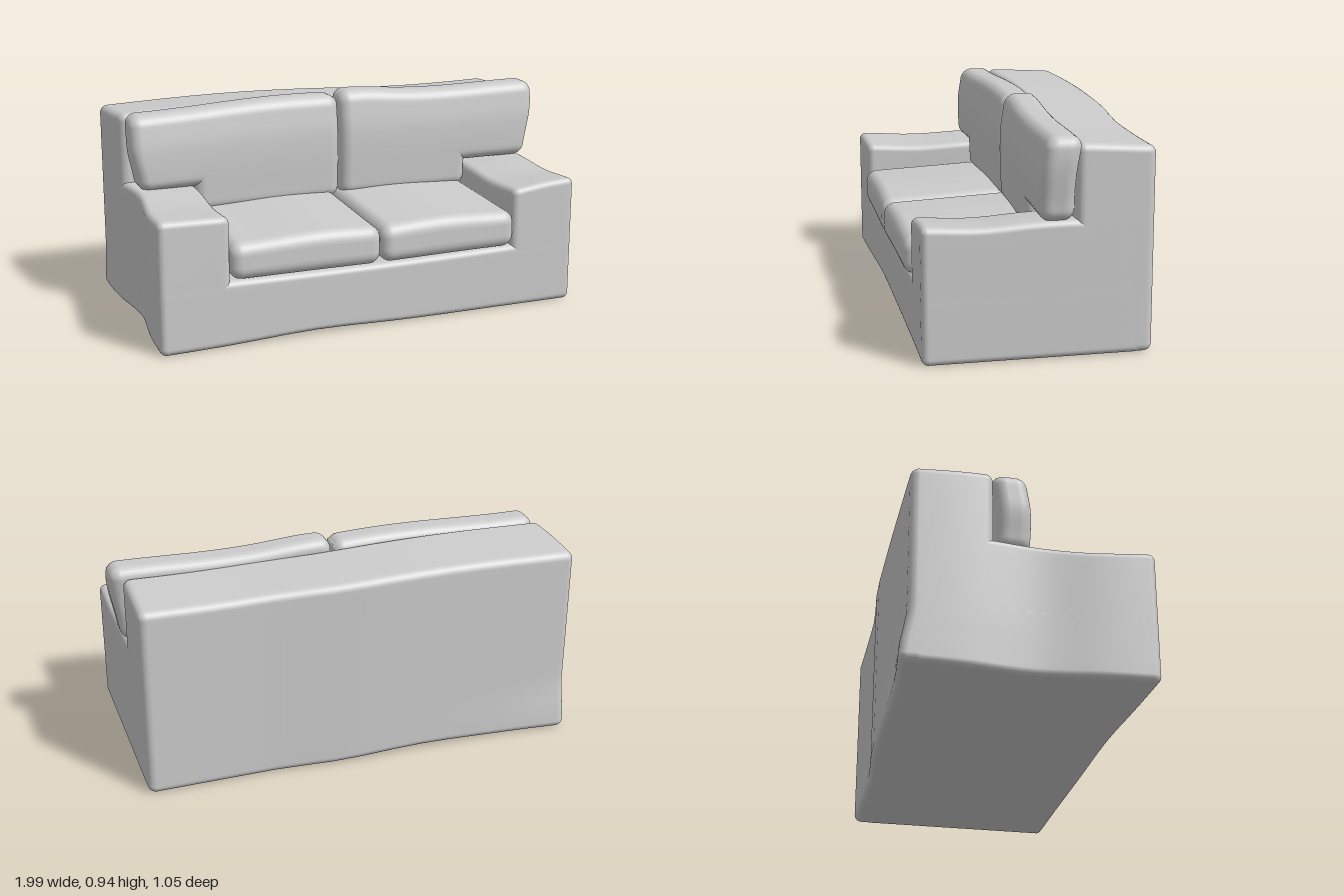
import * as THREE from 'three';
import { mergeVertices } from 'three/addons/utils/BufferGeometryUtils.js';

const { clamp, smoothstep } = THREE.MathUtils;
const bump = (t, centre, width) => Math.exp(-(((t - centre) / width) ** 2));
const material = new THREE.MeshStandardMaterial({ color: 0xcccccc });

// Rounded box between two corners, finely divided, then bent by a rule
function softBox(name, [x0, x1], [y0, y1], [z0, z1], radius, warp) {
  const flat = 14, round = 4, n = flat + 2 * round;
  const geometry = new THREE.BoxGeometry(1, 1, 1, n, n, n);
  geometry.deleteAttribute('normal');
  geometry.deleteAttribute('uv');
  const min = new THREE.Vector3(x0, y0, z0), max = new THREE.Vector3(x1, y1, z1);
  const coreMin = min.clone().addScalar(radius), coreMax = max.clone().subScalar(radius);
  // Gather grid lines in the rounded margins
  const place = (t, lo, hi) => {
    const i = Math.round((t + 0.5) * n);
    const edge = k => radius * (1 - Math.tan((1 - k / round) * Math.PI / 4));
    if (i <= round) return lo + edge(i);
    if (i >= n - round) return hi - edge(n - i);
    return lo + radius + (hi - lo - 2 * radius) * (i - round) / flat;
  };
  const pos = geometry.attributes.position;
  const p = new THREE.Vector3(), core = new THREE.Vector3();
  for (let i = 0; i < pos.count; i++) {
    p.set(place(pos.getX(i), x0, x1), place(pos.getY(i), y0, y1), place(pos.getZ(i), z0, z1));
    core.copy(p).clamp(coreMin, coreMax);
    p.sub(core).setLength(radius).add(core);
    warp(p);
    pos.setXYZ(i, p.x, p.y, p.z);
  }
  const smooth = mergeVertices(geometry, 1e-5);
  smooth.computeVertexNormals();
  const mesh = new THREE.Mesh(smooth, material);
  mesh.name = name;
  return mesh;
}

// Uneven, hand-shaped sway shared by all frame parts
function bendFrame(p) {
  const { x, y, z } = p;
  const left = clamp(-x, 0, 1), arch = Math.cos(x * Math.PI / 2);
  const toFront = z + 0.5, toBack = 0.5 - z;
  p.x += 0.04 * left ** 3 * bump(z, 0.02, 0.22);
  p.z += toFront * (-0.015 * x - 0.015 * arch);
  p.z += toBack * 0.028 * smoothstep(x, 0, 0.4);
  p.z -= toBack * 0.035 * left ** 4 * (1 - smoothstep(y, 0.03, 0.25));
  p.y += 0.015 * bump(x, -0.3, 0.3) * clamp(1 - y / 0.3, 0, 1);
  if (z > -0.16) {
    p.y -= 0.02 * arch * clamp(y / 0.3, 0, 1);
    p.y -= 0.015 * bump(z, 0.25, 0.18) * smoothstep(y, 0.3, 0.58);
    p.y -= 0.02 * smoothstep(y, 0.3, 0.58) * bump(x, 0.62, 0.15);
  } else {
    p.y += y * y * (0.015 * Math.cos(Math.PI * (x + 0.4)) + 0.08 * (z + 0.16));
  }
}

// Back cushions lean inwards and taper at their outer ends
function bendBackCushion(p) {
  const { x, y } = p;
  const up = clamp((y - 0.45) / 0.47, 0, 1);
  p.z -= 0.025 * (1 - Math.abs(x)) + 0.015 * smoothstep(y, 0.75, 0.93);
  p.z += 0.008 * bump(y, 0.68, 0.15);
  if (x < 0) {
    p.y += up * (0.012 * bump(x, -0.22, 0.3) - 0.014 * smoothstep(-x, 0.4, 0.95));
    p.x += 0.03 * smoothstep(-x, 0.7, 0.95) * (1 - smoothstep(y, 0.57, 0.78));
  } else {
    p.y += up * (0.024 * bump(x, 0.08, 0.22) + 0.008 * smoothstep(x, 0.5, 0.95));
    p.x -= 0.04 * smoothstep(x, 0.7, 0.95) * (1 - smoothstep(y, 0.57, 0.85));
  }
}

// Seat cushions rise towards the back and swell on top
function bendSeat(p) {
  const { x, y, z } = p;
  const up = clamp((y - 0.28) / 0.17, 0, 1);
  p.y += up * (0.045 * (0.5 - z) + 0.015 * bump(Math.abs(x), 0.28, 0.25));
  p.y -= 0.008 * (1 - up) * Math.cos(x * Math.PI / 2);
  p.z -= 0.01 * smoothstep(x, -0.2, 0.6);
}

export function createModel() {
  const sofa = new THREE.Group();
  sofa.name = 'sofa';

  // Frame
  const frame = new THREE.Group();
  frame.name = 'frame';
  const wide = [-1, 0.94];
  frame.add(
    softBox('base', wide, [0, 0.3], [-0.45, 0.5], 0.03, bendFrame),
    softBox('backrest', wide, [0, 0.895], [-0.5, -0.16], 0.035, bendFrame),
    softBox('rightArm', [-1, -0.69], [0, 0.582], [-0.42, 0.5], 0.03, bendFrame),
    softBox('leftArm', [0.635, 0.94], [0, 0.58], [-0.42, 0.5], 0.03, bendFrame)
  );
  sofa.add(frame);

  // Cushions, the back ones T-shaped so they rest over the arms
  const sides = [
    { side: 'right', seat: [-0.69, -0.012], back: [-0.97, 0.005], stem: [-0.69, 0.005] },
    { side: 'left', seat: [-0.01, 0.635], back: [0.012, 0.99], stem: [0.012, 0.64] }
  ];
  for (const { side, seat, back, stem } of sides) {
    const backCushion = new THREE.Group();
    backCushion.name = side + 'BackCushion';
    backCushion.add(
      softBox('cushionTop', back, [0.57, 0.917], [-0.145, 0.005], 0.05, bendBackCushion),
      softBox('cushionStem', stem, [0.45, 0.8], [-0.145, 0.005], 0.05, bendBackCushion)
    );
    sofa.add(softBox(side + 'SeatCushion', seat, [0.295, 0.45], [-0.17, 0.52], 0.05, bendSeat), backCushion);
  }
  return sofa;
}
